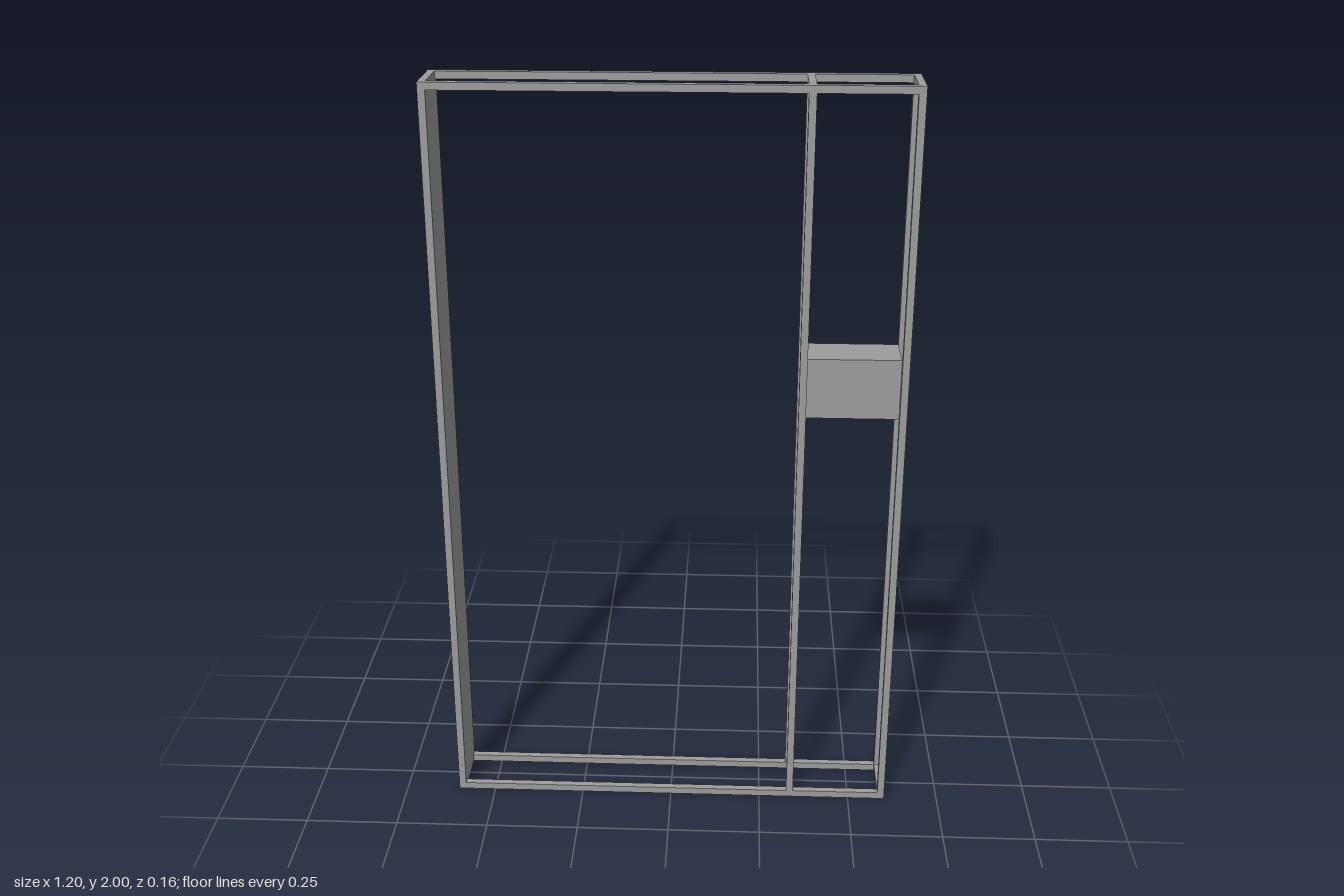
import * as THREE from 'three';

const W = 0.602, H = 2, D = 0.079, B = 0.019; // half width, height, half depth, bar size

export function createModel() {
  const model = new THREE.Group();
  const material = new THREE.MeshStandardMaterial({ color: 0x9c9c9c });

  // Box given by its extents on each axis
  function block(name, [x0, x1], [y0, y1], [z0, z1]) {
    const mesh = new THREE.Mesh(new THREE.BoxGeometry(x1 - x0, y1 - y0, z1 - z0), material);
    mesh.position.set((x0 + x1) / 2, (y0 + y1) / 2, (z0 + z1) / 2);
    mesh.name = name;
    model.add(mesh);
  }

  const left = [W - B, W], right = [-W, -W + B], middle = [0.326, 0.326 + B];
  const bottom = [0, B], top = [H - B, H];
  const innerY = [B, H - B], innerZ = [-D + B, D - B];

  // Front and back frames: long rails and upright posts
  for (const [side, z] of [['front', [D - B, D]], ['back', [-D, -D + B]]]) {
    block(side + 'BottomRail', [-W, W], bottom, z);
    block(side + 'TopRail', [-W, W], top, z);
    block(side + 'LeftPost', left, innerY, z);
    block(side + 'MiddlePost', middle, innerY, z);
    block(side + 'RightPost', right, innerY, z);
  }

  // Short bars joining front and back
  for (const [side, x] of [['left', left], ['right', right]]) {
    block(side + 'BottomCrossbar', x, bottom, innerZ);
    block(side + 'TopCrossbar', x, top, innerZ);
  }
  block('middleTopCrossbar', middle, top, innerZ);

  // Thin side panel, flush with the inside of the frame
  block('sidePanel', [-W + B - 0.006, -W + B], innerY, innerZ);

  // Box held between the narrow bay's posts
  block('lockBox', [middle[1], left[0]], [1.15, 1.31], innerZ);

  return model;
}
